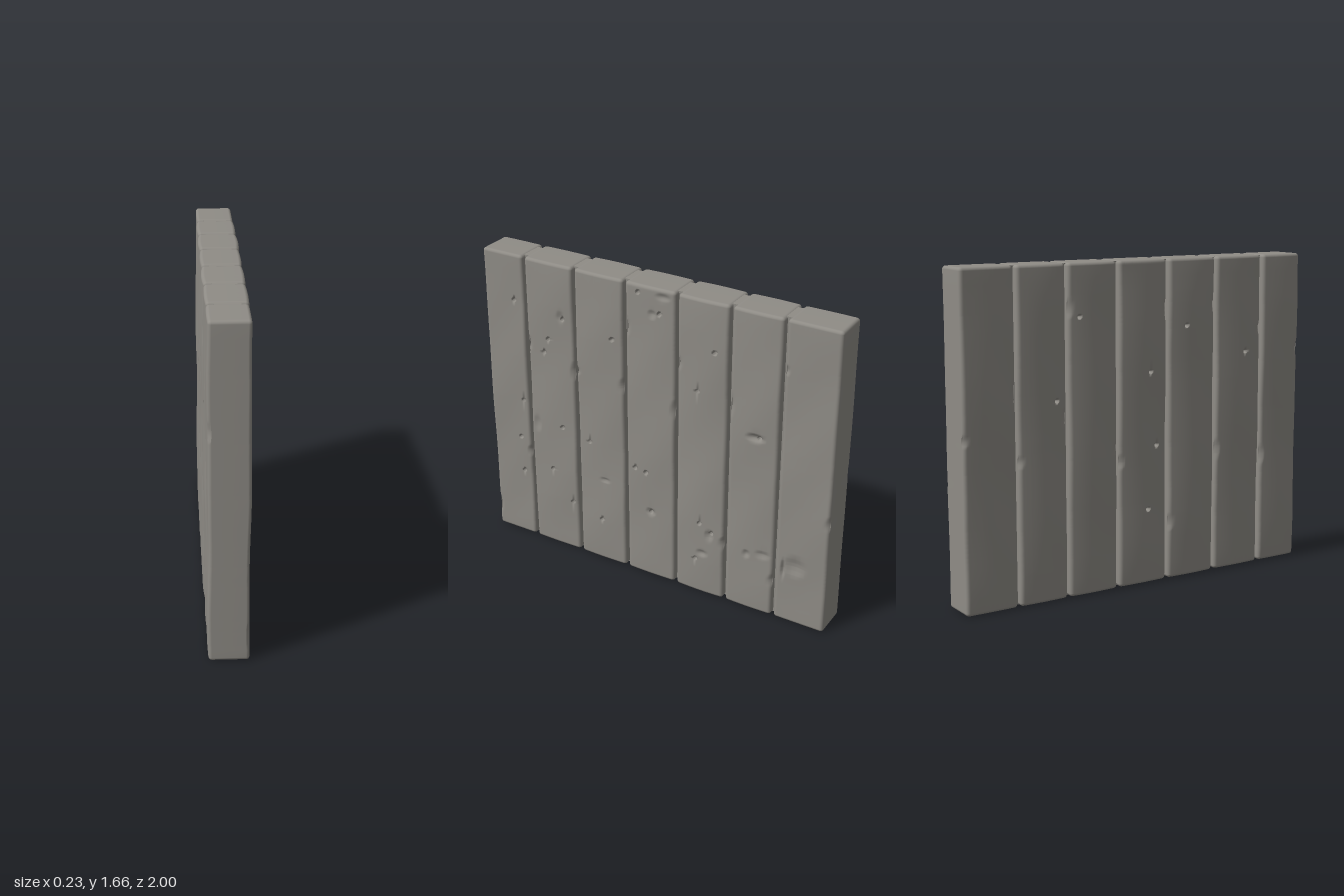
import * as THREE from 'three';
import { mergeVertices } from 'three/addons/utils/BufferGeometryUtils.js';

const H = 1.66;      // wall height
const HX = 0.095;    // half thickness at the plank edges
const R = 0.016;     // edge rounding

// planks from front to back: z start, z end, swelling of the +x face, swelling of the -x face
const PLANKS = [
  [0.757, 1.0, 0.001, 0.006],
  [0.457, 0.741, 0.008, 0.010],
  [0.159, 0.441, 0.010, 0.015],
  [-0.138, 0.143, 0.009, 0.012],
  [-0.429, -0.154, 0.014, 0.015],
  [-0.708, -0.445, 0.009, 0.012],
  [-1.0, -0.724, 0.001, 0.006],
];

// nail holes: z, y
const HOLES_LEFT = [
  [0.82, 1.41], [0.79, 0.84], [0.82, 0.61], [0.81, 0.40], [0.64, 1.16], [0.61, 1.24],
  [0.54, 0.745], [0.49, 0.30], [0.61, 0.475], [0.52, 1.37], [0.22, 1.335], [0.37, 0.71],
  [0.30, 0.255], [0.07, 1.62], [-0.05, 1.53], [0.09, 0.64], [0.025, 0.63], [0, 0.395],
  [-0.36, 1.405], [-0.27, 1.18], [-0.295, 0.43], [-0.36, 0.385], [-0.27, 0.205], [-0.61, 1.01],
];
const HOLES_RIGHT = [[-0.37, 1.40], [0.64, 1.16], [0.03, 0.39], [0.04, 1.1], [-0.5, 1.0], [0.26, 1.32], [0.08, 0.72]];

// soft dents on the +x face: z, y, z radius, y radius, depth
const DENTS = [
  [0.70, 0.73, 0.03, 0.06, 0.008], [0.28, 0.50, 0.04, 0.02, 0.008], [0.53, 1.38, 0.03, 0.04, 0.008],
  [0.0, 0.395, 0.035, 0.03, 0.01], [-0.07, 1.62, 0.05, 0.025, 0.008], [-0.01, 1.52, 0.03, 0.03, 0.008],
  [-0.35, 0.37, 0.03, 0.04, 0.01], [-0.31, 0.25, 0.04, 0.025, 0.01], [-0.59, 1.01, 0.06, 0.03, 0.014],
  [-0.56, 0.33, 0.025, 0.03, 0.01], [-0.65, 0.35, 0.05, 0.03, 0.008], [-0.765, 0.31, 0.015, 0.07, 0.015],
  [-0.83, 0.34, 0.07, 0.07, 0.012],
];

let seed = 7;
const rand = () => (seed = (seed * 16807) % 2147483647) / 2147483647;

// grid lines along one axis: rounded ends, even steps and extra lines around each mark
function gridLines(half, steps, marks) {
  const inner = half - R;
  const lines = [];
  for (let i = 1; i < steps; i++) lines.push(-inner + (2 * inner * i) / steps);
  for (const [c, r] of marks) for (const k of [-1, -0.7, -0.35, 0, 0.35, 0.7, 1]) lines.push(c + k * r);
  lines.sort((a, b) => a - b);
  const kept = [];
  let last = -inner;
  for (const v of lines) {
    if (v - last > 0.003 && v < inner - 0.003) { kept.push(v); last = v; }
  }
  return [-half, -half + R * 0.6, -inner, ...kept, inner, half - R * 0.6, half];
}

// rounded, slightly swollen board with dents pressed into its broad faces
function plankGeometry(index) {
  const [z0, z1, swellLeft, swellRight] = PLANKS[index];
  const zc = (z0 + z1) / 2;
  const half = [HX, H / 2, (z1 - z0) / 2];
  const marks = [];
  const add = (side, hole) => ([z, y, rz = 0.012, ry = 0.012, depth = 0.03]) => {
    if (z > z0 && z < z1) marks.push({ side, hole, z: z - zc, y: y - H / 2, rz, ry, depth });
  };
  HOLES_LEFT.forEach(add(1, true));
  HOLES_RIGHT.forEach(add(-1, true));
  DENTS.forEach(add(1, false));
  // worn chips along the groove edges
  for (const side of [1, -1]) for (const edge of [1, -1]) {
    marks.push({ side, z: edge * half[2], y: (rand() - 0.5) * 1.4, rz: 0.03, ry: 0.03 + rand() * 0.05, depth: 0.012 });
  }

  const axes = [
    gridLines(half[0], 2, []),
    gridLines(half[1], 24, marks.map((m) => [m.y, m.ry])),
    gridLines(half[2], 10, marks.map((m) => [m.z, m.rz])),
  ];
  const n = axes.map((a) => a.length - 1);
  let geo = new THREE.BoxGeometry(1, 1, 1, ...n);
  const pos = geo.attributes.position;
  const q = new THREE.Vector3();
  const d = new THREE.Vector3();
  for (let i = 0; i < pos.count; i++) {
    const p = [pos.getX(i), pos.getY(i), pos.getZ(i)].map((v, k) => axes[k][Math.round((v + 0.5) * n[k])]);
    q.fromArray(p.map((v, k) => THREE.MathUtils.clamp(v, R - half[k], half[k] - R)));
    d.fromArray(p).sub(q);
    if (d.lengthSq() > 0) d.setLength(R);
    q.add(d);
    // swelling and slow waves of the faces
    const side = Math.sign(q.x);
    const t = q.z / half[2];
    const taper = 1 - Math.pow(Math.abs(q.y) / half[1], 6);
    const wave = 0.003 * Math.sin(q.y * 5 + index * 2.3 + side) + 0.0015 * Math.sin(q.y * 11 + t * 2 + index);
    const swell = (side > 0 ? swellLeft : swellRight) * (1 - 0.8 * t * t) * (0.5 + 0.5 * taper) + wave * taper;
    let x = q.x * (1 + swell / HX);
    // holes, dents and chips
    if (Math.abs(q.x) > HX - R * 0.7) {
      let press = 0;
      for (const m of marks) {
        if (m.side !== side) continue;
        const r = Math.hypot((q.z - m.z) / m.rz, (q.y - m.y) / m.ry);
        if (r < 1) press = Math.max(press, m.depth * (m.hole ? Math.min(1, 3 * (1 - r)) : (1 - r * r) ** 2));
      }
      x -= side * press;
    }
    pos.setXYZ(i, x, q.y, q.z);
  }
  geo.deleteAttribute('uv');
  geo.deleteAttribute('normal');
  geo = mergeVertices(geo, 1e-5);
  geo.computeVertexNormals();
  geo.translate(0, H / 2, zc);
  return geo;
}

export function createModel() {
  const wall = new THREE.Group();
  wall.name = 'plankWall';
  const grey = new THREE.MeshStandardMaterial({ color: 0x8f8c86 });
  grey.name = 'weathered grey';

  // vertical boards
  PLANKS.forEach((_, i) => {
    const plank = new THREE.Mesh(plankGeometry(i), grey);
    plank.name = `plank${i + 1}`;
    wall.add(plank);
  });

  // core that closes the bottom of the grooves
  const core = new THREE.Mesh(new THREE.BoxGeometry(0.12, H - 0.006, 1.9), grey);
  core.name = 'core';
  core.position.y = H / 2;
  wall.add(core);
  return wall;
}
